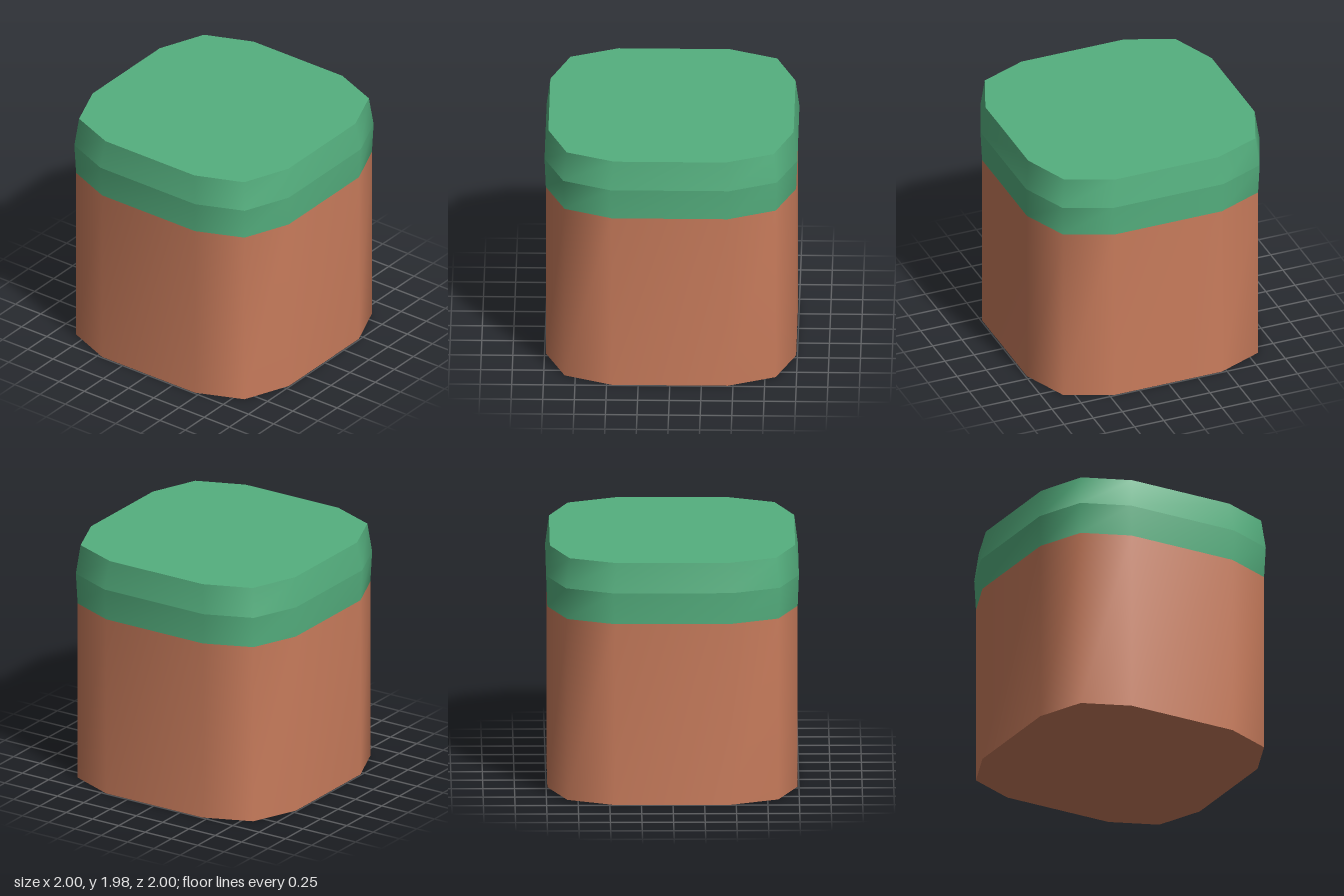
import * as THREE from 'three';

// Twelve-sided rounded-square outline: half width, flat half length, corner point
function outline(w, flat, corner) {
  const pts = [];
  for (let q = 0; q < 4; q++) {
    const c = Math.round(Math.cos(q * Math.PI / 2)), s = Math.round(Math.sin(q * Math.PI / 2));
    for (const [x, z] of [[w, flat], [corner, corner], [flat, w]]) {
      pts.push([x * c - z * s, x * s + z * c]);
    }
  }
  return pts;
}

// Wall between two outlines, smooth around the sides
function wall(lower, y0, upper, y1) {
  const n = lower.length, pos = [], idx = [];
  lower.forEach(([x, z]) => pos.push(x, y0, z));
  upper.forEach(([x, z]) => pos.push(x, y1, z));
  for (let i = 0; i < n; i++) {
    const j = (i + 1) % n;
    idx.push(i, n + i, j, j, n + i, n + j);
  }
  return build(pos, idx);
}

// Flat cap closing an outline
function cap(ring, y, up) {
  const pos = [0, y, 0], idx = [], n = ring.length;
  ring.forEach(([x, z]) => pos.push(x, y, z));
  for (let i = 0; i < n; i++) {
    const a = i + 1, b = (i + 1) % n + 1;
    idx.push(0, ...(up ? [b, a] : [a, b]));
  }
  return build(pos, idx);
}

function build(pos, idx) {
  const g = new THREE.BufferGeometry();
  g.setAttribute('position', new THREE.Float32BufferAttribute(pos, 3));
  g.setIndex(idx);
  g.computeVertexNormals();
  return g;
}

export function createModel() {
  const model = new THREE.Group();
  model.name = 'grassTopBlock';
  const earth = new THREE.MeshStandardMaterial({ color: 0xc97c5c });
  earth.name = 'earth brown';
  const grass = new THREE.MeshStandardMaterial({ color: 0x55b07f });
  grass.name = 'grass green';

  const base = outline(0.99, 0.46, 0.835);
  const rim = outline(1, 0.47, 0.845);
  const top = outline(0.97, 0.44, 0.818);

  const add = (name, geometry, material) => {
    const mesh = new THREE.Mesh(geometry, material);
    mesh.name = name;
    model.add(mesh);
  };

  // Earth body
  add('earthSides', wall(base, 0, base, 1.485), earth);
  add('earthBottom', cap(base, 0, false), earth);

  // Grass layer: flares out to the rim, then tapers in to the flat top
  add('grassLowerBand', wall(base, 1.485, rim, 1.74), grass);
  add('grassUpperBand', wall(rim, 1.74, top, 1.98), grass);
  add('grassTop', cap(top, 1.98, true), grass);

  return model;
}
